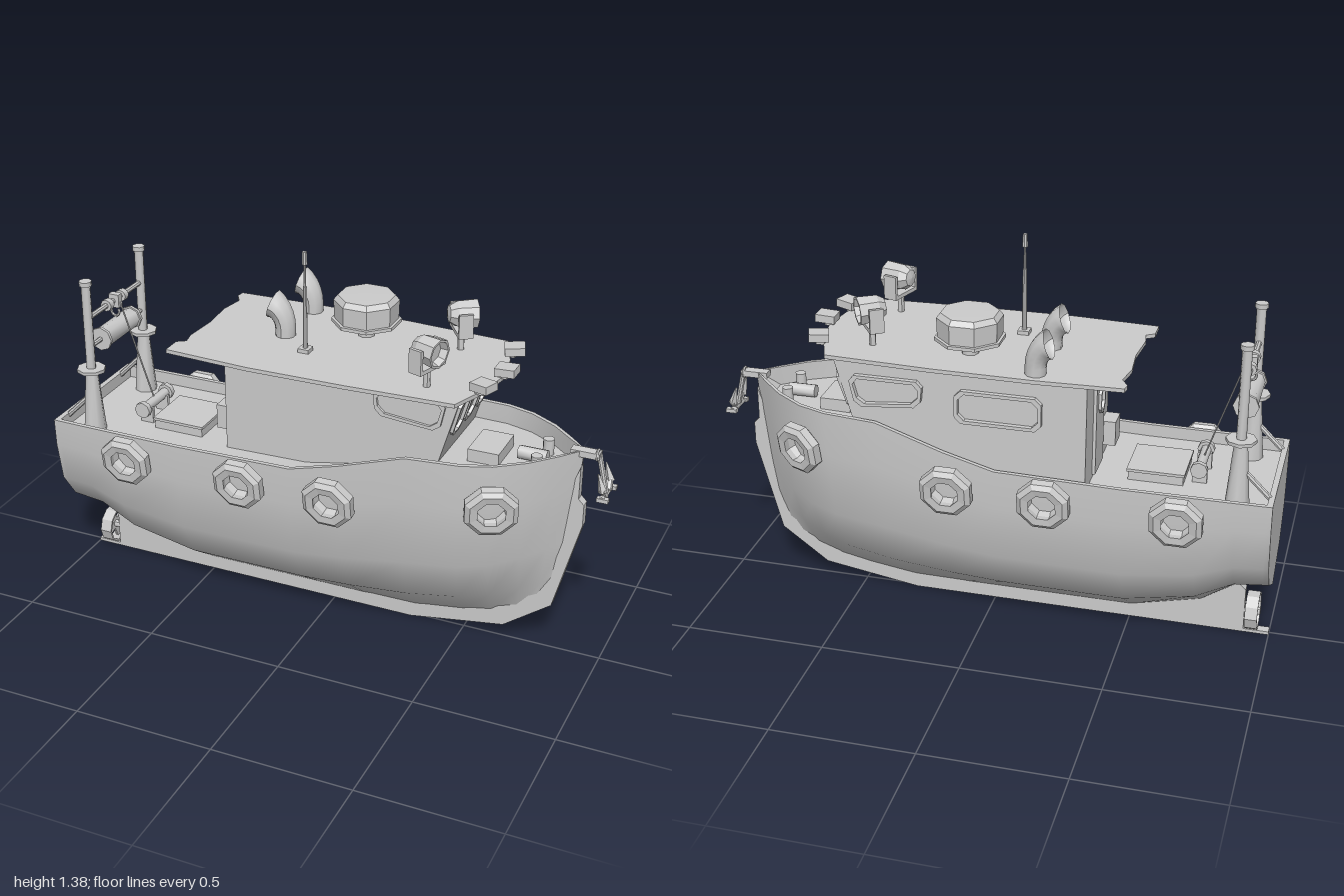
import * as THREE from 'three';
import { toCreasedNormals } from 'three/addons/utils/BufferGeometryUtils.js';

const flat = new THREE.MeshStandardMaterial({ color: 0xcccccc, flatShading: true });
const smooth = new THREE.MeshStandardMaterial({ color: 0xcccccc, side: THREE.DoubleSide });
const V = (x, y, z) => new THREE.Vector3(x, y, z);

function add(parent, name, geo, pos = [0, 0, 0], rot = [0, 0, 0], mat = flat) {
  const m = new THREE.Mesh(geo, mat);
  m.name = name;
  m.position.set(...pos);
  m.rotation.set(...rot);
  parent.add(m);
  return m;
}
const box = (p, name, size, pos, rot) => add(p, name, new THREE.BoxGeometry(...size), pos, rot);

// Cylinder or cone between two points
function rod(p, name, a, b, r1, r2 = r1, seg = 8) {
  const A = V(...a), B = V(...b), d = B.clone().sub(A);
  const m = add(p, name, toCreasedNormals(new THREE.CylinderGeometry(r2, r1, d.length(), seg), 0.9), [0, 0, 0], [0, 0, 0], smooth);
  m.position.copy(A.add(B).multiplyScalar(0.5));
  m.quaternion.setFromUnitVectors(V(0, 1, 0), d.normalize());
  return m;
}
const lathe = (pts, seg) => new THREE.LatheGeometry(pts.map(q => new THREE.Vector2(...q)), seg);
const shapeOf = pts => new THREE.Shape(pts.map(q => new THREE.Vector2(...q)));
const extrude = (shape, depth) => new THREE.ExtrudeGeometry(shape, { depth, bevelEnabled: false });

// Window surround: chamfered four-sided outline with a hole, centred on z = 0
function windowFrame(corners, depth, rim) {
  const outline = inset => {
    const cx = corners.reduce((s, c) => s + c[0], 0) / 4, cy = corners.reduce((s, c) => s + c[1], 0) / 4;
    const q = corners.map(([x, y]) => [x - Math.sign(x - cx) * inset, y - Math.sign(y - cy) * inset]);
    return q.flatMap((c, i) => [q[(i + 3) % 4], q[(i + 1) % 4]].map(n => {
      const l = Math.hypot(n[0] - c[0], n[1] - c[1]);
      return [c[0] + (n[0] - c[0]) * 0.022 / l, c[1] + (n[1] - c[1]) * 0.022 / l];
    }));
  };
  const s = shapeOf(outline(0));
  s.holes.push(shapeOf(outline(rim)));
  return extrude(s, depth).translate(0, 0, -depth / 2);
}

function hullGeometry() {
  // top x, keel x, half beam, sheer height, keel height, sharpness, deck drop
  const stations = [
    [-1, -1, 0.262, 0.64, 0.2, 1, 0], [-0.98, -0.98, 0.263, 0.64, 0.198, 1, 0],
    [-0.98, -0.98, 0.263, 0.64, 0.198, 1, 0.045], [-0.88, -0.88, 0.265, 0.64, 0.185, 1, 0.045],
    [-0.75, -0.75, 0.266, 0.64, 0.1, 1, 0.045], [-0.5, -0.5, 0.268, 0.64, 0.04, 1, 0.045],
    [-0.06, -0.06, 0.27, 0.65, 0.04, 1, 0.045], [0.12, 0.12, 0.27, 0.7, 0.04, 1, 0.06],
    [0.36, 0.32, 0.266, 0.78, 0.042, 1.05, 0.07], [0.55, 0.5, 0.25, 0.785, 0.068, 1.2, 0.07],
    [0.65, 0.6, 0.217, 0.788, 0.088, 1.4, 0.07], [0.75, 0.69, 0.152, 0.792, 0.12, 1.6, 0.07],
    [0.83, 0.75, 0.075, 0.796, 0.152, 1.6, 0.07], [0.895, 0.79, 0.004, 0.8, 0.18, 1, 0]];
  const section = [[0, 0], [0.62, 0.2], [0.885, 0.43], [0.985, 0.77], [1, 1]];
  const pos = [], idx = [], n = 14;
  for (const [xt, xk, w, top, keel, sharp, drop] of stations) {
    const half = section.map(([f, h]) => [xk + (xt - xk) * Math.sqrt(h), keel + (top - keel) * h, w * f ** sharp]);
    const inner = Math.max(w - 0.016, 0);
    half.push([xt, top, inner], [xt, top - drop, inner]);
    const ring = [...half, [xt, top - drop, 0], ...half.slice(1).reverse().map(([x, y, z]) => [x, y, -z])];
    ring.forEach(q => pos.push(...q));
  }
  for (let i = 0; i < stations.length - 1; i++) for (let j = 0; j < n; j++) {
    const a = i * n + j, d = i * n + (j + 1) % n;
    idx.push(a, a + n, d + n, a, d + n, d);
  }
  for (let j = 1; j < n - 1; j++) idx.push(0, j, j + 1);
  const g = new THREE.BufferGeometry();
  g.setAttribute('position', new THREE.Float32BufferAttribute(pos, 3));
  g.setIndex(idx);
  return toCreasedNormals(g, 0.6);
}

function searchlight(parent, z, yaw) {
  const g = new THREE.Group();
  g.name = 'searchlight';
  g.position.set(0.4, 1.01, z);
  g.rotation.y = yaw;
  parent.add(g);
  rod(g, 'lightPost', [0, 0, 0], [0, 0.075, 0], 0.012);
  box(g, 'yokeBase', [0.05, 0.014, 0.13], [0, 0.075, 0]);
  for (const s of [-1, 1]) box(g, 'yokeArm', [0.05, 0.085, 0.012], [0, 0.112, s * 0.06]);
  add(g, 'lampHousing', lathe([[0, -0.05], [0.03, -0.045], [0.046, -0.02], [0.052, 0.05], [0.044, 0.05], [0.036, 0.025], [0, 0.025]], 8),
    [0, 0.135, 0], [0, 0, -Math.PI / 2 - 0.06]);
}

export function createModel() {
  const boat = new THREE.Group();
  boat.name = 'workBoat';
  add(boat, 'hull', hullGeometry(), [0, 0, 0], [0, 0, 0], smooth);

  // Keel, stem and propeller
  const keel = shapeOf([[-1, 0], [0.3, 0], [0.65, 0.055], [0.82, 0.18], [0.91, 0.52], [0.91, 0.6], [0.89, 0.62], [0.89, 0.74],
    [0.84, 0.6], [0.76, 0.24], [0.6, 0.13], [0.3, 0.07], [-0.5, 0.07], [-0.75, 0.13], [-0.88, 0.2], [-0.91, 0.17], [-0.91, 0.012], [-1, 0.012]]);
  add(boat, 'keel', extrude(keel, 0.034).translate(0, 0, -0.017));
  add(boat, 'propellerRing', lathe([[0.062, -0.022], [0.07, -0.022], [0.07, 0.022], [0.062, 0.022], [0.062, -0.022]], 10), [-0.938, 0.084, 0], [0, 0, Math.PI / 2]);
  rod(boat, 'propellerHub', [-0.965, 0.084, 0], [-0.89, 0.084, 0], 0.014);
  for (let i = 0; i < 4; i++) {
    const a = i * Math.PI / 2 + 0.4;
    box(boat, 'propellerBlade', [0.008, 0.056, 0.03], [-0.938, 0.084 + Math.cos(a) * 0.034, Math.sin(a) * 0.034], [a, 0, 0]);
  }

  // Tyre fenders on both sides
  const tyre = lathe([[0.05, -0.024], [0.078, -0.027], [0.096, -0.015], [0.096, 0.015], [0.078, 0.027], [0.05, 0.024], [0.056, 0], [0.05, -0.024]], 8)
    .rotateY(Math.PI / 8).rotateX(Math.PI / 2);
  for (const s of [-1, 1]) for (const [x, y, z, yaw] of [[-0.69, 0.555, 0.29, 0], [-0.24, 0.565, 0.296, 0], [0.1, 0.57, 0.296, 0], [0.655, 0.63, 0.226, 0.42]]) {
    const m = add(boat, 'tyreFender', tyre, [x, y, s * z], [s * 0.16, s * yaw, 0]);
    m.rotation.order = 'YXZ';
  }

  // Off-centre wheelhouse with a raked front
  const house = shapeOf([[-0.37, 0.59], [0.4, 0.62], [0.43, 0.72], [0.51, 0.995], [-0.37, 0.995]]);
  add(boat, 'wheelhouse', extrude(house, 0.365).translate(0, 0, -0.24));
  const fore = [[0.2, 0.85], [0.43, 0.83], [0.455, 0.945], [0.19, 0.945]];
  const aft = [[-0.22, 0.81], [0.08, 0.81], [0.08, 0.93], [-0.22, 0.93]];
  add(boat, 'sideWindow', windowFrame(fore, 0.02, 0.012), [0, 0, 0.125]);
  for (const w of [fore, aft]) add(boat, 'sideWindow', windowFrame(w, 0.03, 0.012), [0, 0, -0.243]);
  const front = new THREE.Group();
  front.name = 'windscreen';
  front.position.set(0.477, 0.875, -0.06);
  front.rotation.z = -0.288;
  boat.add(front);
  for (const i of [-1, 0, 1]) {
    const t = i * 0.008;
    add(front, 'frontWindow', windowFrame([[-0.048, -0.075], [0.048, -0.075], [0.054 + t, 0.075], [-0.054 + t, 0.075]], 0.018, 0.011),
      [0, 0, -i * 0.118], [0, Math.PI / 2, 0]);
  }
  box(boat, 'cabinDoor', [0.014, 0.33, 0.13], [-0.374, 0.775, -0.06]);
  add(boat, 'doorWindow', windowFrame([[-0.035, -0.05], [0.035, -0.05], [0.035, 0.05], [-0.035, 0.05]], 0.012, 0.009), [-0.385, 0.87, -0.06], [0, Math.PI / 2, 0]);
  box(boat, 'cabinLocker', [0.05, 0.09, 0.08], [-0.395, 0.7, 0.06]);
  box(boat, 'deckLamp', [0.06, 0.03, 0.05], [-0.39, 0.955, 0.13], [0, 0, 0.4]);

  // Overhanging roof with a ragged aft edge
  const roof = shapeOf([[-0.5, -0.28], [-0.2, -0.292], [0.15, -0.288], [0.53, -0.268], [0.585, -0.12], [0.605, 0], [0.585, 0.12], [0.53, 0.268],
    [0.15, 0.285], [-0.2, 0.29], [-0.515, 0.272], [-0.515, 0.2], [-0.485, 0.18], [-0.495, 0.13], [-0.485, 0], [-0.495, -0.12], [-0.48, -0.21], [-0.505, -0.25]]);
  add(boat, 'roof', extrude(roof, 0.014).rotateX(Math.PI / 2), [0, 1.014, 0]);
  for (const [x, z, yaw] of [[0.585, -0.165, 0.35], [0.615, 0.005, 0], [0.585, 0.15, -0.35]]) {
    box(boat, 'roofLampFoot', [0.03, 0.02, 0.03], [x - 0.01, 1.02, z]);
    box(boat, 'roofLamp', [0.07, 0.028, 0.062], [x, 1.038, z], [0, yaw, 0.05]);
  }

  // Roof equipment
  searchlight(boat, -0.14, 0.6);
  searchlight(boat, 0.178, -0.3);
  rod(boat, 'radarPost', [0.06, 1.01, -0.12], [0.06, 1.04, -0.12], 0.03);
  add(boat, 'radarDome', toCreasedNormals(lathe([[0, 1.03], [0.04, 1.035], [0.122, 1.065], [0.122, 1.077], [0.112, 1.078], [0.114, 1.145], [0.1, 1.163], [0, 1.167]], 8)
    .rotateY(Math.PI / 8), 0.5), [0.06, 0, -0.12], [0, 0, 0], smooth);
  box(boat, 'antennaBase', [0.04, 0.016, 0.04], [-0.075, 1.02, 0.092]);
  for (const [y0, y1, r] of [[1.02, 1.25, 0.009], [1.25, 1.33, 0.005], [1.33, 1.375, 0.01]])
    rod(boat, 'antenna', [-0.075, y0, 0.092], [-0.075, y1, 0.092], r, r * 0.8);
  // Cowl vents: rings swept along a bend, widening toward the mouth
  for (const z of [-0.235, -0.005]) {
    const g = new THREE.CylinderGeometry(1, 1, 1, 10, 6, true), p = g.attributes.position;
    for (let i = 0; i < p.count; i++) {
      const t = p.getY(i) + 0.5, a = Math.max(0, t - 0.15) / 0.85 * 1.25, r = 0.036 + 0.016 * t * t;
      const c = p.getX(i) * r;
      p.setXYZ(i, -0.065 * (1 - Math.cos(a)) + c * Math.cos(a), 0.03 * Math.min(1, t / 0.15) + 0.088 * Math.sin(a) + c * Math.sin(a), p.getZ(i) * r);
    }
    g.computeVertexNormals();
    add(boat, 'cowlVent', g, [-0.195, 1.01, z], [0, 0, 0], smooth);
  }

  // Stern gantry: twin posts, roller, crossbar and tackle
  for (const s of [-1, 1]) {
    const z = s * 0.185;
    rod(boat, 'gantryFoot', [-0.875, 0.59, z], [-0.875, 0.83, z], 0.042, 0.022);
    rod(boat, 'gantryCollar', [-0.875, 0.828, z], [-0.875, 0.84, z], 0.052);
    rod(boat, 'gantryPost', [-0.875, 0.84, z], [-0.875, 1.16, z], 0.017);
    rod(boat, 'gantryCap', [-0.875, 1.155, z], [-0.875, 1.172, z], 0.023);
    rod(boat, 'gantryBrace', [-0.985, 0.63, z], [-0.885, 0.73, z], 0.01);
    rod(boat, 'rollerEnd', [-0.875, 0.92, s * 0.1], [-0.875, 0.92, s * 0.112], 0.044);
    rod(boat, 'winchFlange', [-0.73, 0.655, s * 0.075], [-0.73, 0.655, s * 0.095], 0.03);
    box(boat, 'winchStand', [0.05, 0.06, 0.014], [-0.73, 0.625, s * 0.055]);
  }
  rod(boat, 'netRoller', [-0.875, 0.92, -0.1], [-0.875, 0.92, 0.1], 0.038);
  rod(boat, 'rollerAxle', [-0.875, 0.92, -0.185], [-0.875, 0.92, 0.185], 0.009);
  rod(boat, 'crossbar', [-0.875, 1.03, -0.185], [-0.875, 1.03, 0.185], 0.01);
  for (const z of [-0.05, 0.05]) rod(boat, 'crossbarCollar', [-0.875, 1.03, z - 0.012], [-0.875, 1.03, z + 0.012], 0.022);
  box(boat, 'pulleyBlock', [0.04, 0.05, 0.025], [-0.872, 1.03, 0]);
  add(boat, 'liftingHook', new THREE.TorusGeometry(0.016, 0.005, 6, 10, 4.4), [-0.875, 0.985, 0], [0, 0, 2.6]);
  rod(boat, 'cable', [-0.862, 1.05, 0], [-0.735, 0.67, 0], 0.003, 0.003, 6);
  rod(boat, 'winchDrum', [-0.73, 0.655, -0.08], [-0.73, 0.655, 0.08], 0.018);
  box(boat, 'aftHatch', [0.19, 0.04, 0.19], [-0.585, 0.61, -0.005]);
  box(boat, 'aftHatchLid', [0.2, 0.01, 0.2], [-0.585, 0.632, -0.005]);

  // Foredeck gear
  box(boat, 'foreHatch', [0.11, 0.05, 0.16], [0.57, 0.735, 0]);
  rod(boat, 'windlass', [0.67, 0.745, 0], [0.77, 0.745, 0], 0.024);
  for (const s of [-1, 1]) rod(boat, 'bollard', [0.752, 0.71, s * 0.066], [0.752, 0.78, s * 0.066], 0.02);
  box(boat, 'bowRoller', [0.1, 0.022, 0.036], [0.9, 0.79, 0]);

  // Anchor hanging over the stem
  rod(boat, 'anchorShank', [0.945, 0.795, 0], [0.977, 0.655, 0], 0.01);
  rod(boat, 'anchorCrown', [0.977, 0.655, -0.055], [0.977, 0.655, 0.055], 0.011);
  add(boat, 'anchorRing', new THREE.TorusGeometry(0.018, 0.005, 6, 10), [0.94, 0.79, 0], [0, Math.PI / 2, 0]);
  for (const s of [-1, 1]) {
    rod(boat, 'anchorArm', [0.98, 0.655, s * 0.02], [0.975, 0.69, s * 0.048], 0.011);
    rod(boat, 'anchorFluke', [0.977, 0.68, s * 0.045], [0.958, 0.745, s * 0.046], 0.016, 0.003, 4);
    box(boat, 'anchorPalm', [0.04, 0.014, 0.02], [0.98, 0.655, s * 0.05]);
  }
  return boat;
}
